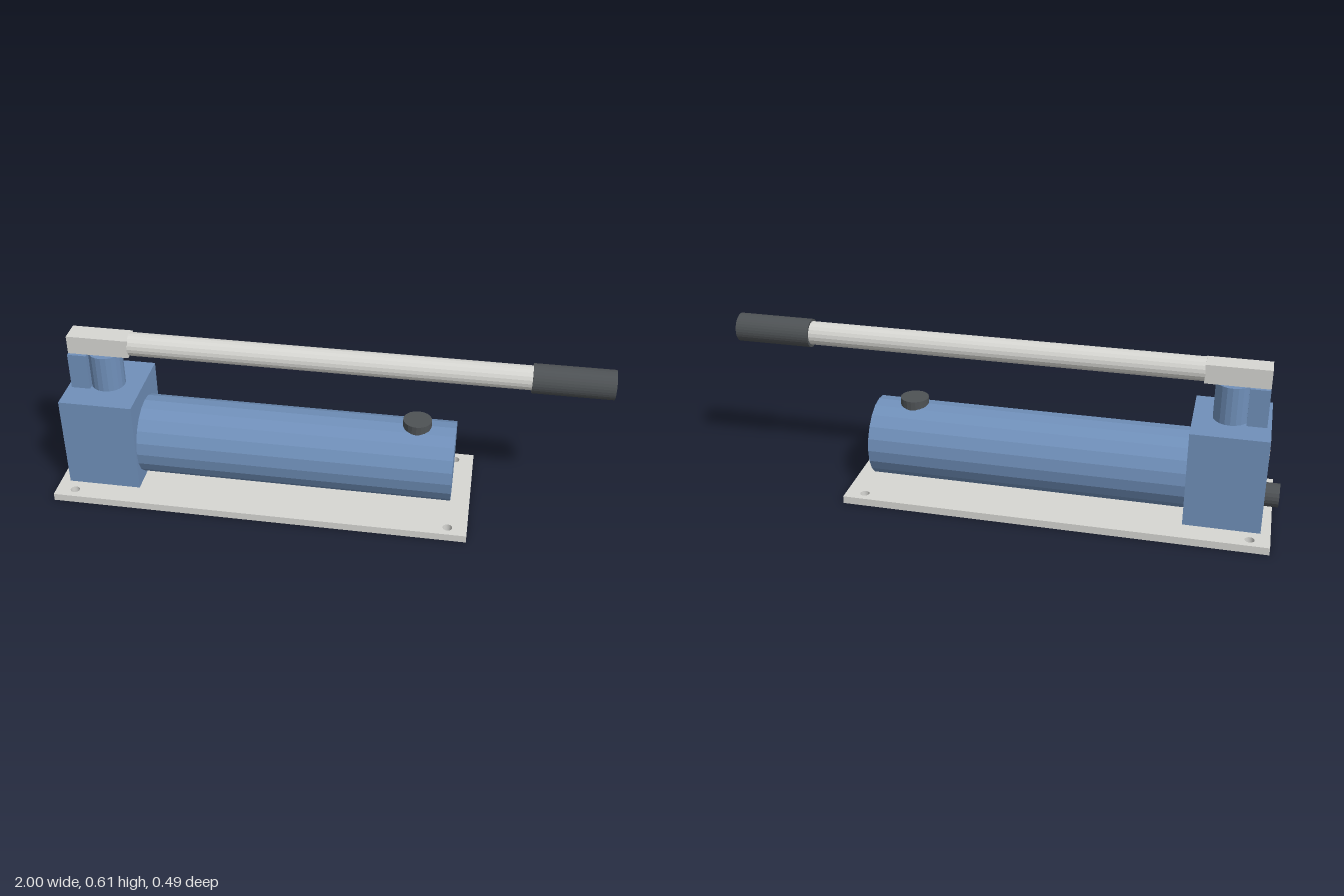
import * as THREE from 'three';

export function createModel() {
  const model = new THREE.Group();
  const material = (name, color) => {
    const m = new THREE.MeshStandardMaterial({ color, flatShading: true });
    m.name = name;
    return m;
  };
  const blue = material('blue paint', 0x7090ba);
  const steel = material('light steel', 0xd6d6d2);
  const black = material('black rubber', 0x4e5255);
  const port = material('warm port metal', 0xcfc4bc);

  const add = (name, geometry, mat, x, y, z = 0) => {
    const mesh = new THREE.Mesh(geometry, mat);
    mesh.name = name;
    mesh.position.set(x, y, z);
    model.add(mesh);
    return mesh;
  };
  // Box given by its x range, y range and half depth
  const box = (name, mat, x0, x1, y0, y1, hz) =>
    add(name, new THREE.BoxGeometry(x1 - x0, y1 - y0, hz * 2), mat, (x0 + x1) / 2, (y0 + y1) / 2);
  // Cylinder lying along x
  const rod = (name, mat, x0, x1, y, z, r, sides = 20) =>
    add(name, new THREE.CylinderGeometry(r, r, x1 - x0, sides).rotateZ(Math.PI / 2), mat, (x0 + x1) / 2, y, z);
  // Upright cylinder
  const post = (name, mat, x, y0, y1, r) =>
    add(name, new THREE.CylinderGeometry(r, r, y1 - y0, 20), mat, x, (y0 + y1) / 2);

  // Base plate with four bolt holes
  const plate = new THREE.Shape();
  plate.moveTo(-0.985, -0.244).lineTo(0.545, -0.244).lineTo(0.545, 0.244).lineTo(-0.985, 0.244).closePath();
  for (const x of [-0.915, 0.475]) {
    for (const z of [-0.205, 0.205]) {
      plate.holes.push(new THREE.Path().absarc(x, z, 0.017, 0, Math.PI * 2, true));
    }
  }
  const plateGeometry = new THREE.ExtrudeGeometry(plate, { depth: 0.028, bevelEnabled: false, curveSegments: 16 });
  add('basePlate', plateGeometry.rotateX(-Math.PI / 2), steel, 0, 0);

  // Pump body and reservoir
  box('pumpBlock', blue, -0.95, -0.68, 0.028, 0.384, 0.157);
  rod('reservoir', blue, -0.68, 0.475, 0.174, 0, 0.146);
  post('fillerCap', black, 0.335, 0.3, 0.343, 0.052);

  // Plunger and pivot lug
  post('plunger', blue, -0.81, 0.384, 0.523, 0.062);
  box('pivotLug', blue, -0.935, -0.865, 0.384, 0.523, 0.052);

  // Lever
  box('leverBlock', steel, -0.935, -0.71, 0.523, 0.592, 0.04);
  rod('leverTube', steel, -0.712, 0.72, 0.56, 0, 0.043);
  rod('grip', black, 0.72, 1, 0.559, 0, 0.052, 32);

  // Valve knob and outlet on the end of the block
  rod('valveKnob', black, -1, -0.95, 0.141, -0.075, 0.042);
  rod('outletPort', port, -0.956, -0.949, 0.243, 0.067, 0.047);

  return model;
}
